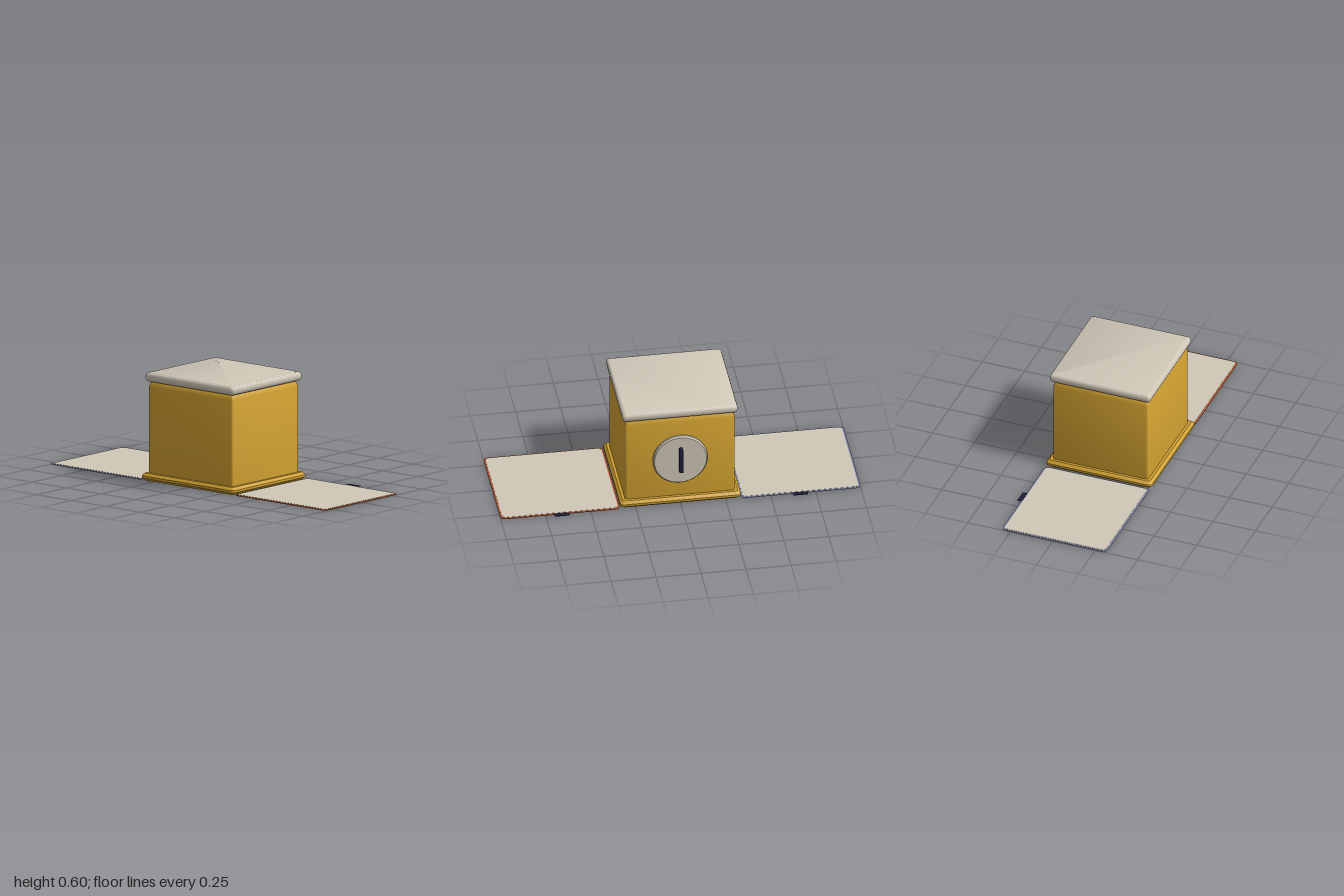
import * as THREE from 'three';
import { toCreasedNormals } from 'three/addons/utils/BufferGeometryUtils.js';

function material(name, color) {
  const m = new THREE.MeshStandardMaterial({ color });
  m.name = name;
  return m;
}

// Rounded-rectangle slab lofted upward through [y, inset] levels.
function slab(width, depth, radius, levels, steps = 3) {
  const loops = levels.map(([y, inset]) => {
    const hx = width / 2 - inset, hz = depth / 2 - inset;
    const r = Math.max(radius - inset * 0.5, 0.003);
    const loop = [];
    for (let c = 0; c < 4; c++) {
      const sx = c === 0 || c === 3 ? 1 : -1, sz = c < 2 ? 1 : -1;
      for (let i = 0; i <= steps; i++) {
        const a = (c + i / steps) * Math.PI / 2;
        loop.push([sx * (hx - r) + r * Math.cos(a), y, sz * (hz - r) + r * Math.sin(a)]);
      }
    }
    return loop;
  });
  const n = loops[0].length, index = [];
  const positions = loops.flat(2);
  for (let k = 0; k < loops.length - 1; k++) {
    for (let i = 0; i < n; i++) {
      const j = (i + 1) % n, a = k * n, b = a + n;
      index.push(a + i, b + i, b + j, a + i, b + j, a + j);
    }
  }
  // End caps
  const top = (loops.length - 1) * n;
  for (let i = 1; i < n - 1; i++) {
    index.push(0, i, i + 1);
    index.push(top, top + i + 1, top + i);
  }
  const geo = new THREE.BufferGeometry();
  geo.setAttribute('position', new THREE.Float32BufferAttribute(positions, 3));
  geo.setIndex(index);
  return toCreasedNormals(geo, 0.65);
}

export function createModel() {
  const gold = material('gold', 0xd0a030);
  const cream = material('cream', 0xd0c8b8);
  const navy = material('navy', 0x1e1e38);
  const blue = material('dusty blue', 0x888cb2);
  const rust = material('rust', 0xb85a34);

  const model = new THREE.Group();
  model.name = 'boxWithFlaps';
  const add = (name, geo, mat, x, y, z) => {
    const mesh = new THREE.Mesh(geo, mat);
    mesh.name = name;
    mesh.position.set(x, y, z);
    model.add(mesh);
    return mesh;
  };
  const zMid = 0.01;

  // Bevelled plinth, body and lid
  add('base', slab(0.67, 0.622, 0.02,
    [[0, 0.016], [0.014, 0], [0.027, 0], [0.042, 0.015]]), gold, 0, 0, zMid);
  add('body', slab(0.61, 0.56, 0.012,
    [[0.03, 0], [0.522, 0], [0.549, 0.01], [0.556, 0.018]]), gold, 0, 0, zMid);
  add('lid', slab(0.64, 0.592, 0.018,
    [[0.553, 0.013], [0.558, 0.006], [0.57, 0], [0.587, 0], [0.597, 0.005], [0.602, 0.014]]),
    cream, 0, 0, zMid);

  // Round plate on the back with an upright grip
  const profile = [[0, 0], [0.152, 0], [0.152, 0.011], [0.145, 0.02], [0, 0.02]]
    .map(([r, h]) => new THREE.Vector2(r, h));
  const plate = toCreasedNormals(new THREE.LatheGeometry(profile, 40), 0.5);
  add('backPlate', plate, cream, 0, 0.282, -0.27).rotation.x = -Math.PI / 2;
  add('grip', new THREE.BoxGeometry(0.02, 0.146, 0.034), navy, 0, 0.29, -0.305);

  // Flat side flaps: coloured cover, cream lining and a small dark tab
  for (const [side, cover, x] of [['left', rust, 1], ['right', blue, -1]]) {
    add(side + 'FlapCover', slab(0.663, 0.616, 0.025,
      [[0, 0.006], [0.002, 0], [0.005, 0], [0.0065, 0.005]]), cover, x * 0.6685, 0, 0.007);
    add(side + 'FlapLining', slab(0.644, 0.597, 0.02,
      [[0.005, 0], [0.0078, 0]]), cream, x * 0.6685, 0, 0.007);
    add(side + 'FlapTab', new THREE.BoxGeometry(0.082, 0.004, 0.026), navy, x * 0.663, 0.006, -0.309);
  }
  return model;
}
